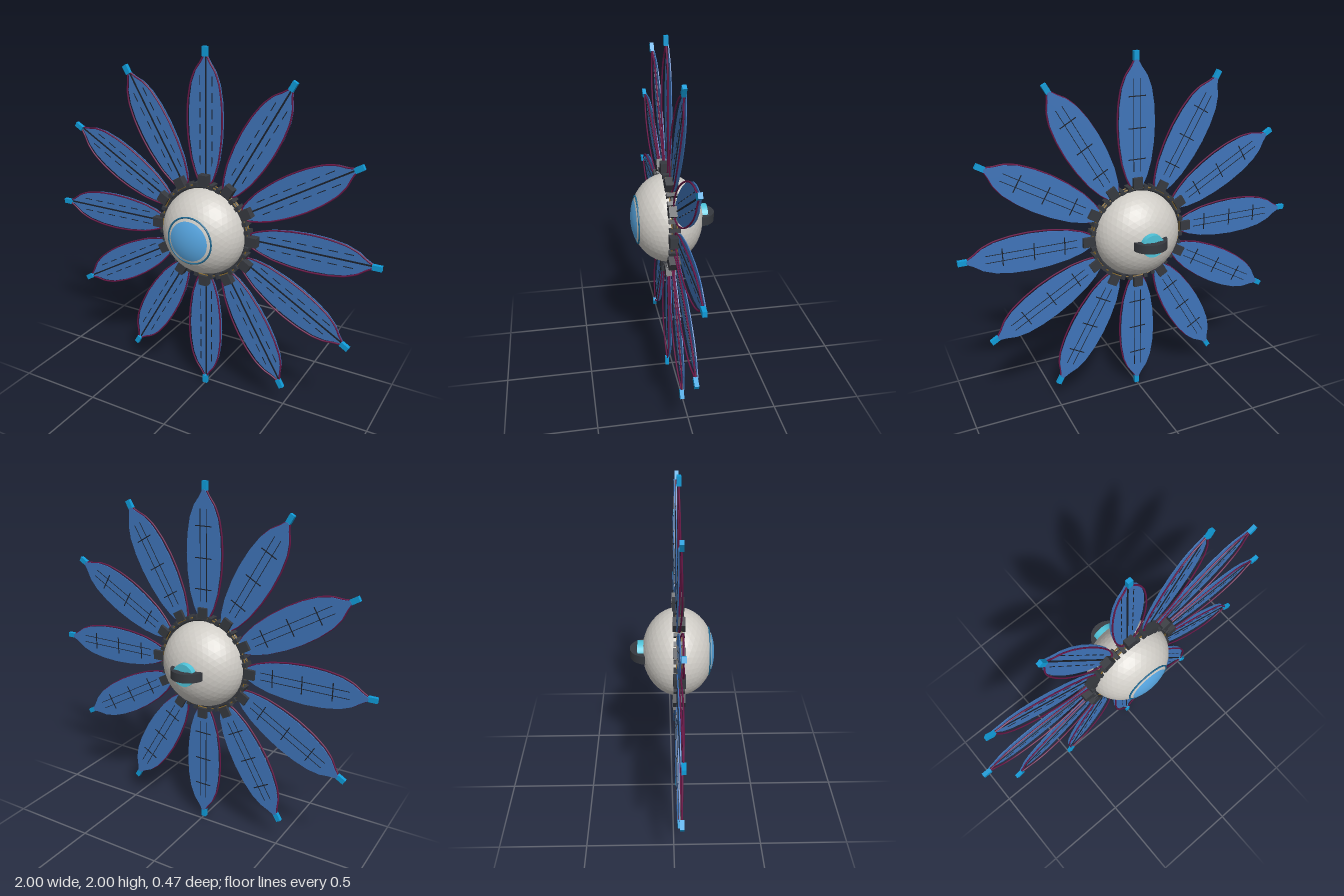
import * as THREE from 'three';

const mat = (color, extra = {}) => {
  const m = new THREE.MeshStandardMaterial(extra);
  m.color.set(color);
  return m;
};
const M = {
  shell: mat(0xcfccc6, { flatShading: true }),
  lens: mat(0x58a8e4),
  lensRing: mat(0x1f6a94),
  panel: mat(0x3f74b9),
  trim: mat(0x6b1848),
  line: mat(0x1c222c),
  dark: mat(0x36393f),
  gold: mat(0x8a6b2c),
  tip: mat(0x0f9bd8),
  port: mat(0x4fc3d9),
};

const CY = 1, CZ = 0.033, PETALS = 12;

function add(parent, name, geometry, material, x = 0, y = 0, z = 0) {
  const mesh = new THREE.Mesh(geometry, material);
  mesh.name = name;
  mesh.position.set(x, y, z);
  parent.add(mesh);
  return mesh;
}
const box = (w, h, d) => new THREE.BoxGeometry(w, h, d);

// Half outline of a petal: [half width, distance from the hub centre]
const PROFILE = [
  [0.035, 0.28], [0.06, 0.33], [0.084, 0.41], [0.1, 0.52], [0.105, 0.62],
  [0.1, 0.72], [0.085, 0.81], [0.06, 0.875], [0.028, 0.92], [0.008, 0.955],
];
const OUTLINE = [...PROFILE, ...PROFILE.map(([w, r]) => [-w, r]).reverse()];

const panelGeo = new THREE.ExtrudeGeometry(
  new THREE.Shape(OUTLINE.map(([x, y]) => new THREE.Vector2(x, y))),
  { depth: 0.005, bevelEnabled: false });

// Trim wire bows forward slightly along the petal
const trimCurve = new THREE.CatmullRomCurve3(
  OUTLINE.map(([x, r]) => new THREE.Vector3(x, r, 0.032 + 0.008 * Math.sin(Math.PI * (r - 0.28) / 0.675))),
  true, 'catmullrom', 0.3);
const trimGeo = new THREE.TubeGeometry(trimCurve, 80, 0.0045, 6, true);

function makePetal() {
  const petal = new THREE.Group();
  petal.name = 'petal';
  add(petal, 'petalPanel', panelGeo, M.panel, 0, 0, 0.018);
  add(petal, 'petalTrim', trimGeo, M.trim);
  add(petal, 'petalSpine', box(0.008, 0.67, 0.006), M.line, 0, 0.615, 0.024);
  // Broken veins on the front, fine veins and cross ribs on the back
  for (const s of [-1, 1]) {
    for (let i = 0; i < 6; i++)
      add(petal, 'frontVein', box(0.004, 0.05, 0.003), M.line, s * 0.036, 0.4 + i * 0.085, 0.0235);
    add(petal, 'backVein', box(0.003, 0.5, 0.003), M.line, s * 0.02, 0.61, 0.0175);
  }
  for (const r of [0.43, 0.6, 0.77])
    add(petal, 'crossRib', box(0.1, 0.005, 0.004), M.line, 0, r, 0.017);
  add(petal, 'tipBlock', box(0.028, 0.05, 0.022), M.tip, 0, 0.975, CZ);
  add(petal, 'hinge', box(0.055, 0.06, 0.066), M.dark, 0, 0.298, CZ);
  // Small teeth on the ring between hinges
  for (const a of [1 / 3, 2 / 3]) {
    const t = a * 2 * Math.PI / PETALS;
    const tooth = add(petal, 'ringTooth', box(0.022, 0.026, 0.06), M.dark,
      -Math.sin(t) * 0.27, Math.cos(t) * 0.27, CZ);
    tooth.rotation.z = t;
  }
  return petal;
}

export function createModel() {
  const model = new THREE.Group();
  model.name = 'solarFlowerProbe';
  const hub = new THREE.Group();
  hub.name = 'hub';
  hub.position.y = CY;
  model.add(hub);

  // Faceted body
  add(hub, 'body', new THREE.IcosahedronGeometry(1, 7), M.shell, 0, 0, CZ).scale.set(0.247, 0.247, 0.2);

  // Front lens cap and its ring
  const capGeo = new THREE.SphereGeometry(1, 40, 10, 0, Math.PI * 2, 0, 0.47).rotateX(Math.PI / 2);
  add(hub, 'lens', capGeo, M.lens, 0, 0, CZ).scale.set(0.25, 0.25, 0.202);
  add(hub, 'lensRing', new THREE.TorusGeometry(0.132, 0.005, 8, 48), M.lensRing, 0, 0, 0.203);

  // Collar rings around the body
  add(hub, 'collar', new THREE.TorusGeometry(0.257, 0.011, 8, 60), M.dark, 0, 0, CZ);
  for (const z of [-0.014, 0.014])
    add(hub, 'goldRing', new THREE.TorusGeometry(0.268, 0.004, 6, 60), M.gold, 0, 0, CZ + z);

  // Rear port with an arched handle
  add(hub, 'rearPort', new THREE.CylinderGeometry(0.064, 0.064, 0.06, 32).rotateX(Math.PI / 2), M.port, 0, 0, -0.163);
  const arch = new THREE.Shape();
  arch.absarc(0, 0, 0.098, 0, Math.PI, false);
  arch.absarc(0, 0, 0.062, Math.PI, 0, true);
  const archGeo = new THREE.ExtrudeGeometry(arch, { depth: 0.05, bevelEnabled: false, curveSegments: 20 });
  archGeo.translate(0, 0, -0.025).rotateX(-Math.PI / 2);
  add(hub, 'rearHandle', archGeo, M.dark, 0, 0, -0.138);

  // Petals around the hub
  for (let i = 0; i < PETALS; i++) {
    const petal = makePetal();
    petal.rotation.z = i * 2 * Math.PI / PETALS;
    hub.add(petal);
  }
  return model;
}
